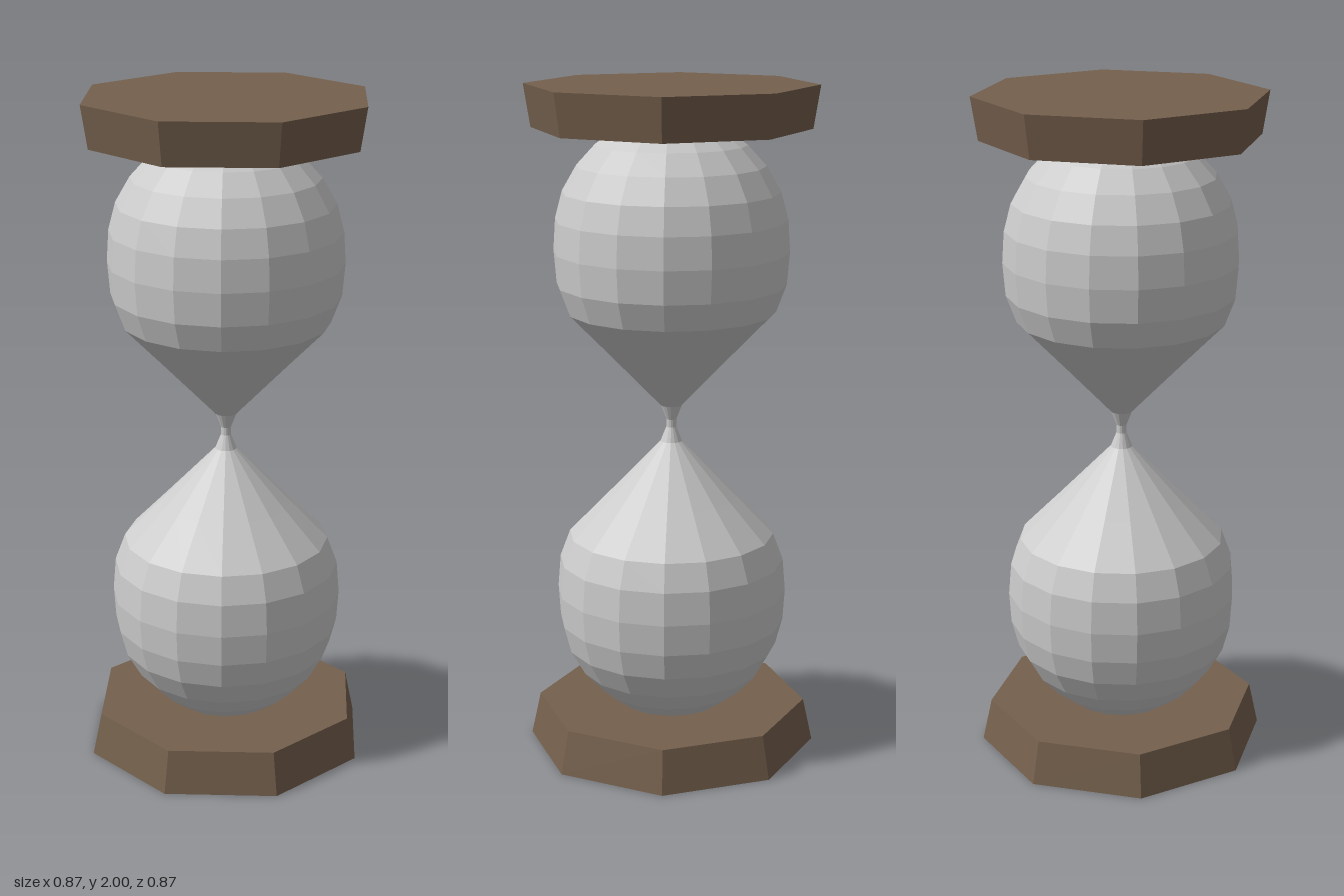
import * as THREE from 'three';

export function createModel() {
  const model = new THREE.Group();
  model.name = 'hourglass';
  const glass = new THREE.MeshStandardMaterial({ color: 0xcccccc, flatShading: true });
  const wood = new THREE.MeshStandardMaterial({ color: 0x75604d, flatShading: true });

  const add = (name, geometry, material, y = 0) => {
    const mesh = new THREE.Mesh(geometry, material);
    mesh.name = name;
    mesh.position.y = y;
    model.add(mesh);
  };

  // Octagonal end plates, each flaring away from the glass
  add('basePlate', new THREE.CylinderGeometry(0.406, 0.434, 0.13, 8), wood, 0.065);
  add('topPlate', new THREE.CylinderGeometry(0.426, 0.406, 0.125, 8), wood, 1.9375);

  // Upper bulb profile [radius, height above the neck], mirrored for the lower bulb
  const upper = [
    [0.015, 0.012], [0.032, 0.055], [0.195, 0.225], [0.307, 0.34],
    [0.337, 0.42], [0.345, 0.517], [0.339, 0.61], [0.318, 0.69],
    [0.275, 0.765], [0.22, 0.825], [0.15, 0.878], [0, 0.92],
  ];
  const neck = 1.003;
  const profile = [
    ...upper.map(([r, h]) => new THREE.Vector2(r, neck - h)).reverse(),
    ...upper.map(([r, h]) => new THREE.Vector2(r, neck + h)),
  ];
  add('glassBulbs', new THREE.LatheGeometry(profile, 16), glass);

  return model;
}
